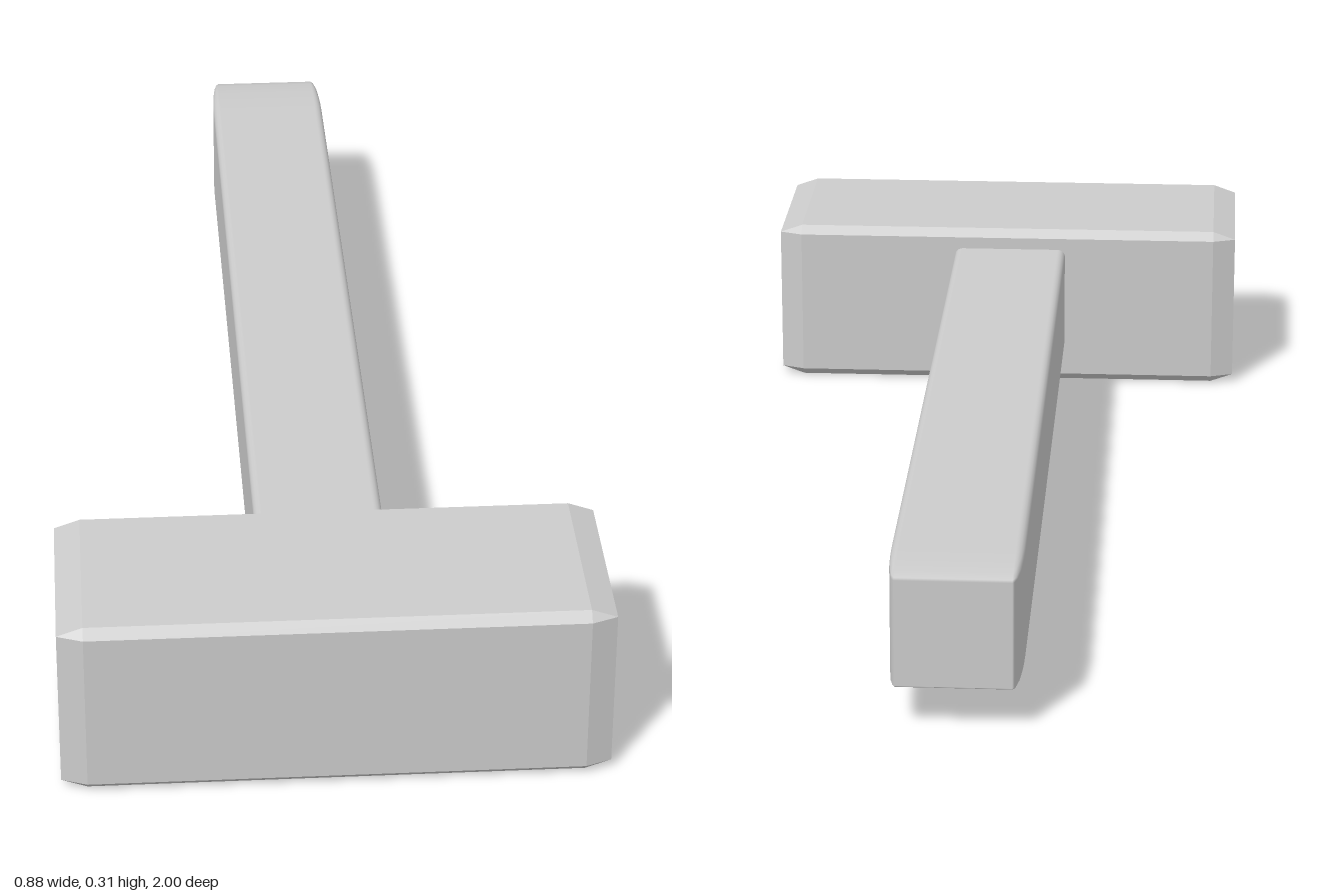
import * as THREE from 'three';
import { ConvexGeometry } from 'three/addons/geometries/ConvexGeometry.js';

// Box with its own bevel depth per axis; steps = 1 gives a flat chamfer, more gives a round one.
function bevelledBox(size, bevel, steps) {
  const core = size.clone().multiplyScalar(0.5).sub(bevel);
  const points = [];
  for (const sx of [-1, 1]) for (const sy of [-1, 1]) for (const sz of [-1, 1]) {
    const sign = new THREE.Vector3(sx, sy, sz);
    for (let i = 0; i <= steps; i++) for (let j = 0; j <= steps - i; j++) {
      const dir = new THREE.Vector3(i, j, steps - i - j).normalize();
      points.push(dir.multiply(bevel).add(core).multiply(sign));
    }
  }
  const geometry = new ConvexGeometry(points);
  if (steps > 1) {
    // Smooth normals that stay flat on the six main faces
    const pos = geometry.attributes.position, normal = geometry.attributes.normal;
    const n = new THREE.Vector3();
    for (let i = 0; i < pos.count; i++) {
      n.fromBufferAttribute(pos, i);
      const sign = new THREE.Vector3(Math.sign(n.x), Math.sign(n.y), Math.sign(n.z));
      n.sub(sign.multiply(core)).divide(bevel).divide(bevel).normalize();
      normal.setXYZ(i, n.x, n.y, n.z);
    }
  }
  return geometry;
}

export function createModel() {
  const group = new THREE.Group();
  group.name = 'mallet';

  function addBlock(name, min, max, bevel, steps) {
    const lo = new THREE.Vector3(...min), hi = new THREE.Vector3(...max);
    const material = new THREE.MeshStandardMaterial({ color: 0xcccccc, flatShading: steps === 1 });
    const geometry = bevelledBox(hi.clone().sub(lo), new THREE.Vector3(...bevel), steps);
    const mesh = new THREE.Mesh(geometry, material);
    mesh.name = name;
    mesh.position.copy(lo).add(hi).multiplyScalar(0.5);
    group.add(mesh);
  }

  // Chamfered head across the front
  addBlock('head', [-0.442, 0, 0.655], [0.442, 0.306, 1], [0.042, 0.015, 0.016], 1);
  // Handle running back, its end softly rounded and its front end set into the head
  addBlock('handle', [-0.113, 0.064, -1], [0.1, 0.269, 0.82], [0.014, 0.013, 0.13], 5);

  return group;
}
